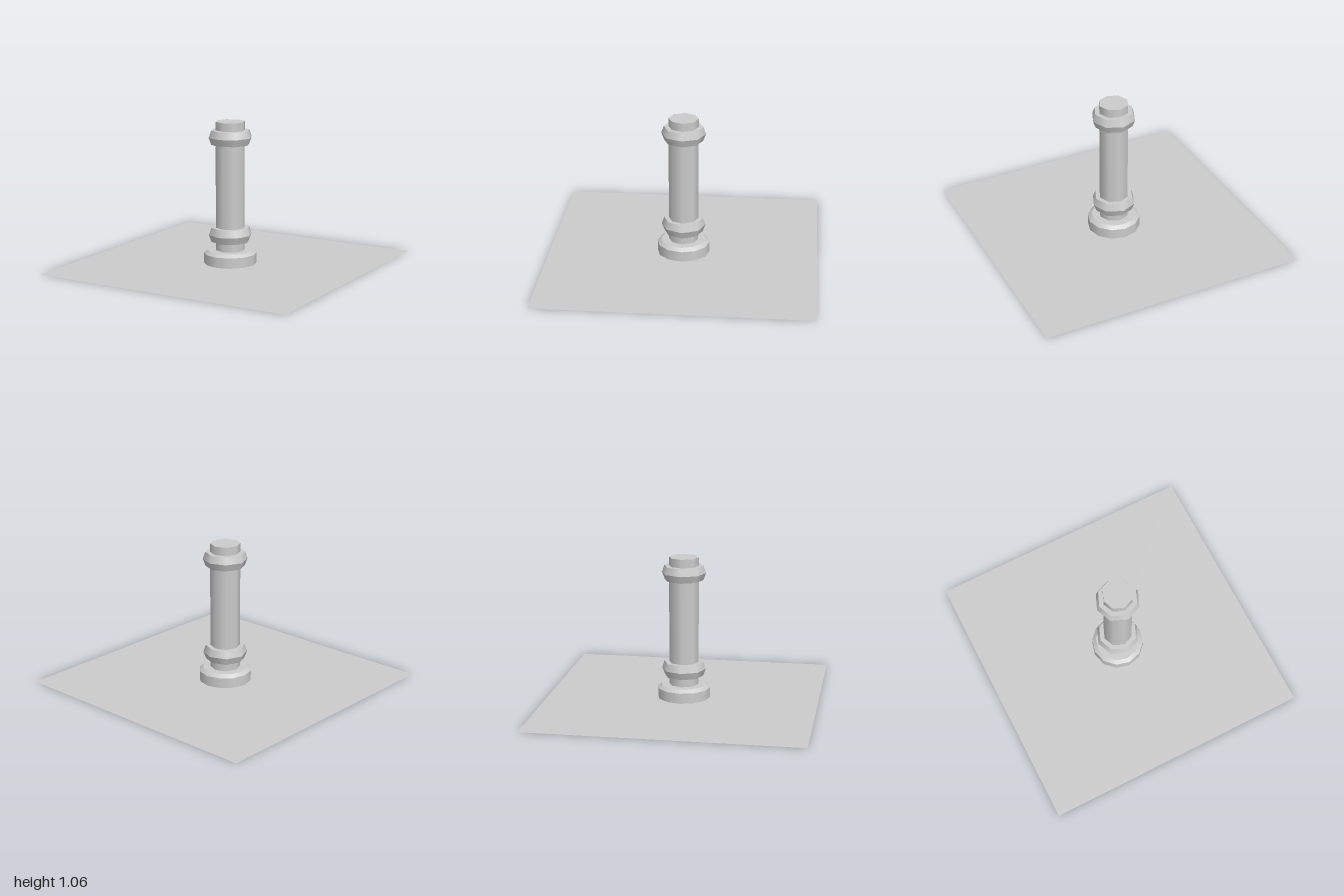
import * as THREE from 'three';
import { mergeGeometries } from 'three/addons/utils/BufferGeometryUtils.js';

const grey = new THREE.MeshStandardMaterial({ color: 0xcccccc });
const greyTwoSided = new THREE.MeshStandardMaterial({ color: 0xcccccc, side: THREE.DoubleSide });

// Turned part: each band of the profile is smooth around, with sharp edges between bands
function turned(name, profile, sides) {
  const bands = [];
  for (let i = 0; i < profile.length - 1; i++) {
    const pair = [profile[i], profile[i + 1]].map(([r, y]) => new THREE.Vector2(r, y));
    bands.push(new THREE.LatheGeometry(pair, sides));
  }
  const mesh = new THREE.Mesh(mergeGeometries(bands), grey);
  mesh.name = name;
  return mesh;
}

// Bulging ring around the shaft
function collar(name, y) {
  const mesh = turned(name, [[0.1, -0.053], [0.143, -0.053], [0.163, 0], [0.145, 0.053], [0.1, 0.053]], 8);
  mesh.position.y = y;
  return mesh;
}

export function createModel() {
  const model = new THREE.Group();
  model.name = 'bollard';

  // Flat square of ground
  const ground = new THREE.Mesh(new THREE.PlaneGeometry(2, 2).rotateX(-Math.PI / 2), greyTwoSided);
  ground.name = 'groundPlate';
  model.add(ground);

  // Twelve-sided foot with a chamfered rim
  model.add(turned('foot', [[0.195, 0], [0.195, 0.077], [0.167, 0.1], [0, 0.1]], 12));

  // Octagonal shaft with a flat top
  model.add(turned('shaft', [[0.11, 0.05], [0.11, 1.06], [0, 1.06]], 8));

  model.add(collar('lowerCollar', 0.218), collar('upperCollar', 0.944));
  return model;
}
